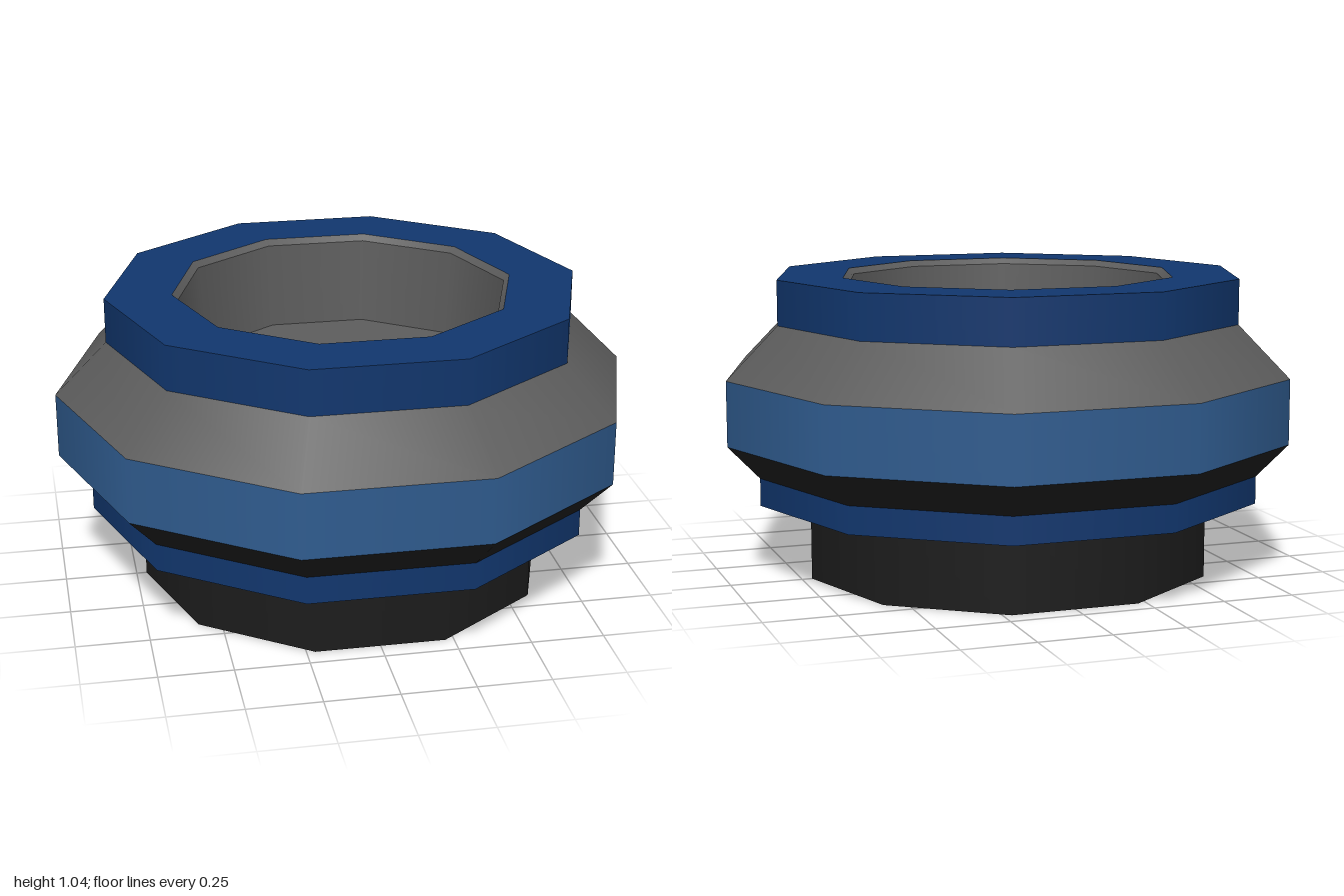
import * as THREE from 'three';

const SIDES = 10;
const NAVY = 0x11366d, STEEL = 0x2f5b8e, GREY = 0x5c5c5c, BLACK = 0x1c1c1c;

// One ten-sided band, smooth around its girth and sharp at its edges.
function band(name, color, ...profile) {
  const points = profile.map(([r, y]) => new THREE.Vector2(r, y));
  const geometry = new THREE.LatheGeometry(points, SIDES, Math.PI / 2);
  const mesh = new THREE.Mesh(geometry, new THREE.MeshStandardMaterial({ color }));
  mesh.name = name;
  return mesh;
}

export function createModel() {
  const group = new THREE.Group();
  group.name = 'pot';
  group.add(
    // Foot
    band('footBottom', GREY, [0, 0], [0.715, 0]),
    band('footWall', BLACK, [0.715, 0], [0.715, 0.27]),
    // Lower collar
    band('collarUnderside', NAVY, [0.715, 0.27], [0.89, 0.27]),
    band('collarWall', NAVY, [0.89, 0.27], [0.89, 0.365]),
    // Body
    band('lowerBevel', BLACK, [0.89, 0.365], [1, 0.48]),
    band('bellyBand', STEEL, [1, 0.48], [1, 0.705]),
    band('shoulder', GREY, [1, 0.705], [0.82, 0.885]),
    // Rim
    band('rimWall', NAVY, [0.82, 0.885], [0.82, 1.04]),
    band('rimTop', NAVY, [0.82, 1.04], [0.59, 1.04]),
    // Recess
    band('innerLip', GREY, [0.59, 1.04], [0.57, 1.02]),
    band('innerWall', GREY, [0.57, 1.02], [0.545, 0.72]),
    band('innerFloor', GREY, [0.545, 0.72], [0, 0.72])
  );
  return group;
}
